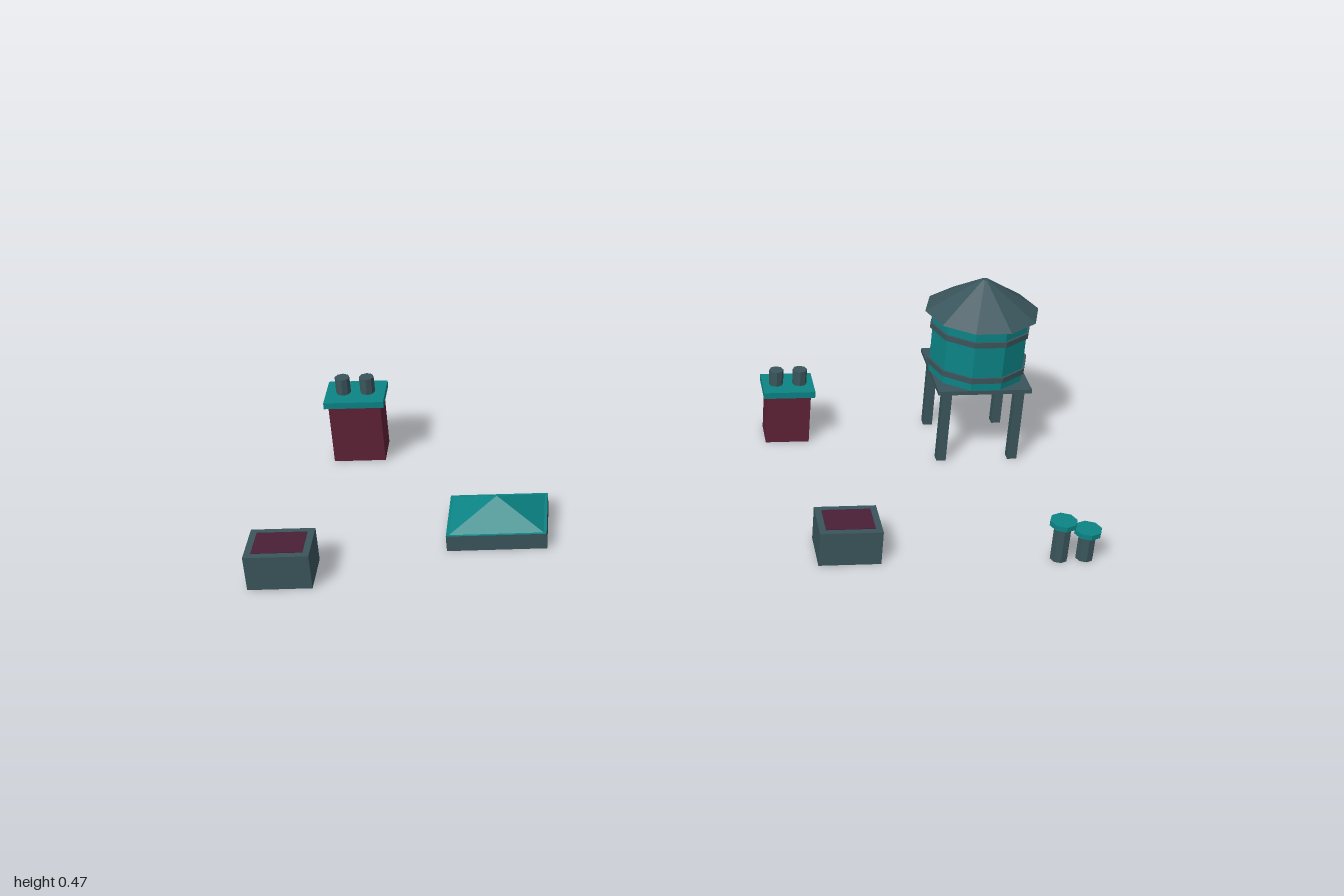
import * as THREE from 'three';

const paint = (name, color) => {
  const m = new THREE.MeshStandardMaterial({ color, flatShading: true, side: THREE.DoubleSide });
  m.name = name;
  return m;
};

export function createModel() {
  const slate = paint('slate', 0x3a555c);
  const teal = paint('teal', 0x0c8485);
  const brick = paint('brick', 0x5f2236);
  const soil = paint('soil', 0x4a2038);

  const model = new THREE.Group();
  model.name = 'rooftopProps';

  const group = (name, x, z) => {
    const g = new THREE.Group();
    g.name = name;
    g.position.set(x, 0, z);
    model.add(g);
    return g;
  };
  const add = (parent, name, geometry, material, x, y, z) => {
    const m = new THREE.Mesh(geometry, material);
    m.name = name;
    m.position.set(x, y, z);
    parent.add(m);
    return m;
  };
  // Box standing between two heights
  const box = (parent, name, mat, w, d, y0, y1, x = 0, z = 0) =>
    add(parent, name, new THREE.BoxGeometry(w, y1 - y0, d), mat, x, (y0 + y1) / 2, z);
  // Same, but without the bottom face; the top may have its own material
  const openBox = (parent, name, mat, w, d, y0, y1, topMat = mat) => {
    const geo = new THREE.BoxGeometry(w, y1 - y0, d);
    geo.groups = geo.groups.filter((g) => g.materialIndex !== 3);
    return add(parent, name, geo, [mat, mat, topMat, mat, mat, mat], 0, (y0 + y1) / 2, 0);
  };
  // Faceted drum with corners on the x axis
  const drum = (parent, name, mat, rTop, rBottom, y0, y1, sides, x = 0, z = 0) => {
    const geo = new THREE.CylinderGeometry(rTop, rBottom, y1 - y0, sides).rotateY(Math.PI / 2);
    return add(parent, name, geo, mat, x, (y0 + y1) / 2, z);
  };

  // Water tower
  const tower = group('waterTower', 0.807, -0.224);
  for (const sx of [-1, 1]) {
    for (const sz of [-1, 1]) {
      box(tower, 'towerLeg', slate, 0.0245, 0.0245, 0, 0.205, sx * 0.0935, sz * 0.0935);
    }
  }
  box(tower, 'platform', slate, 0.24, 0.24, 0.204, 0.215);
  drum(tower, 'tank', teal, 0.124, 0.124, 0.214, 0.388, 10);
  for (const y of [0.237, 0.339]) drum(tower, 'tankBand', slate, 0.13, 0.13, y, y + 0.015, 10);
  drum(tower, 'tankRoof', slate, 0.008, 0.146, 0.386, 0.472, 10);

  // Chimneys with paired pots
  const chimney = (name, x, z, w, d, capY, potTop) => {
    const g = group(name, x, z);
    openBox(g, 'chimneyStack', brick, w, d, 0, capY);
    box(g, 'chimneyCap', teal, w + 0.02, d + 0.02, capY, capY + 0.017);
    for (const s of [-1, 1]) {
      drum(g, 'chimneyPot', slate, 0.019, 0.019, capY + 0.016, potTop, 8, s * 0.031, 0);
    }
  };
  chimney('rightChimney', -0.806, -0.243, 0.132, 0.095, 0.163, 0.224);
  chimney('leftChimney', 0.322, -0.276, 0.115, 0.085, 0.139, 0.197);

  // Planter boxes
  for (const [name, x, z] of [['rightPlanter', -0.925, 0.306], ['leftPlanter', 0.406, 0.277]]) {
    const g = group(name, x, z);
    openBox(g, 'planterBox', slate, 0.15, 0.116, 0, 0.09);
    box(g, 'planterSoil', soil, 0.118, 0.084, 0.0895, 0.0915);
  }

  // Skylight: kerb with a pyramid of glass
  const skylight = group('skylight', -0.43, 0.14);
  openBox(skylight, 'skylightKerb', slate, 0.24, 0.18, 0, 0.042, teal);
  const glass = new THREE.CylinderGeometry(0, Math.SQRT1_2, 0.054, 4, 1, true)
    .rotateY(Math.PI / 4).scale(0.226, 1, 0.168);
  add(skylight, 'skylightGlass', glass, teal, 0, 0.069, 0);

  // Vent pipes
  for (const [name, x, top] of [['tallVent', 0.906, 0.108], ['shortVent', 0.9675, 0.083]]) {
    const g = group(name, x, 0.332);
    drum(g, 'ventPipe', slate, 0.021, 0.021, 0, top - 0.012, 8);
    drum(g, 'ventCap', teal, 0.0325, 0.0325, top - 0.013, top, 8);
  }

  return model;
}
